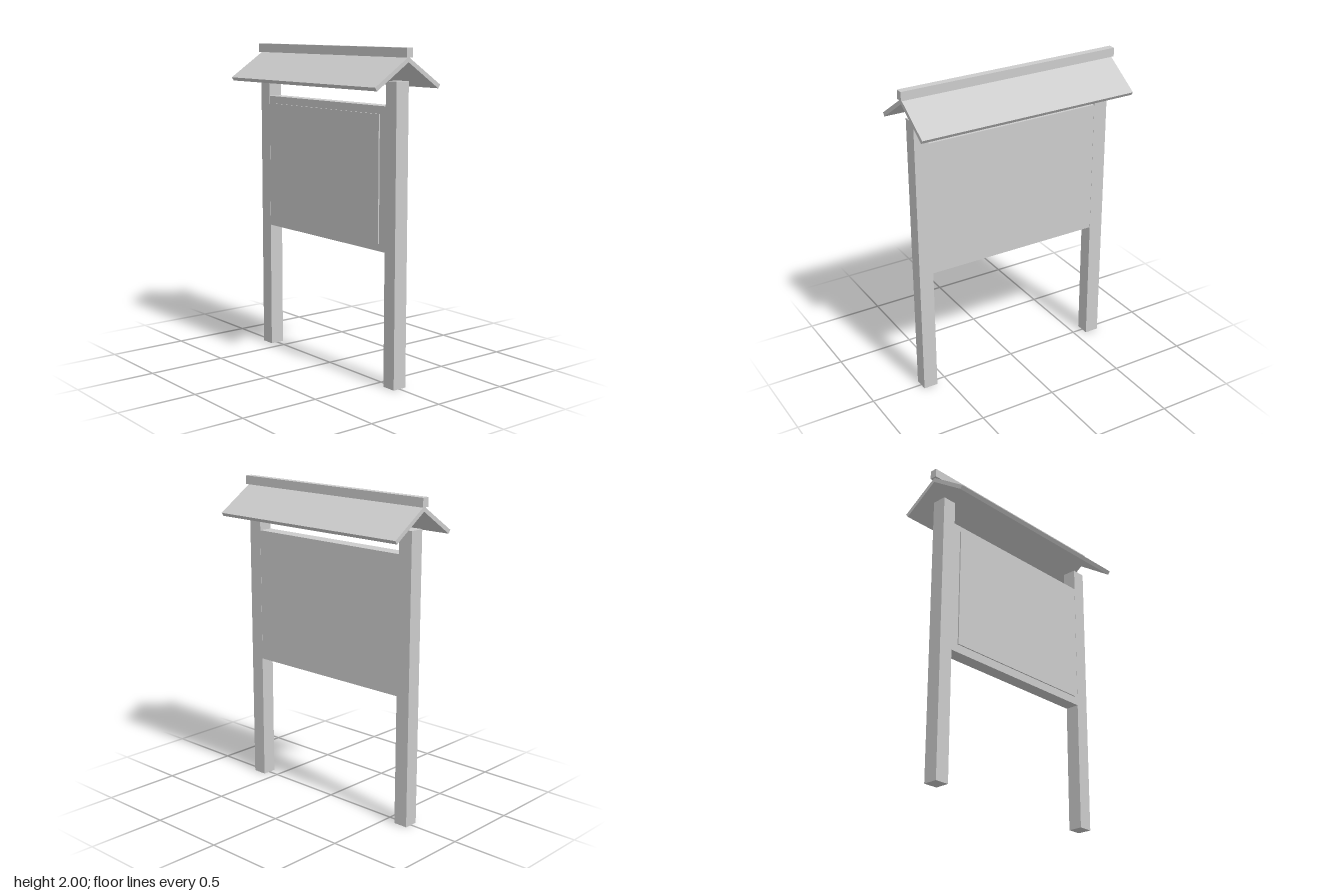
import * as THREE from 'three';

export function createModel() {
  const model = new THREE.Group();
  model.name = 'noticeBoard';
  const grey = new THREE.MeshStandardMaterial({ color: 0xcccccc });
  grey.name = 'lightGrey';

  function add(name, geometry, x, y, z) {
    const mesh = new THREE.Mesh(geometry, grey);
    mesh.name = name;
    mesh.position.set(x, y, z);
    model.add(mesh);
  }
  const box = (name, w, h, d, x, y, z) => add(name, new THREE.BoxGeometry(w, h, d), x, y, z);

  // Square posts
  for (const [name, side] of [['leftPost', 1], ['rightPost', -1]])
    box(name, 0.092, 1.81, 0.092, side * 0.62, 0.905, 0);

  // Back panel between the posts
  box('backPanel', 1.15, 0.852, 0.09, 0, 1.24, 0);

  // Raised display surface with a thin cover in front
  box('displaySurface', 0.98, 0.68, 0.008, 0, 1.24, 0.049);
  box('displayCover', 1.064, 0.76, 0.008, 0, 1.24, 0.057);

  // Two sloping roof boards, mitred where they meet under the ridge
  const length = 1.426;
  for (const [name, side] of [['frontRoofBoard', 1], ['backRoofBoard', -1]]) {
    const profile = new THREE.Shape(
      [[0, 1.949], [0, 1.919], [0.231, 1.765], [0.246, 1.786]]
        .map(([z, y]) => new THREE.Vector2(-side * z, y)));
    const geometry = new THREE.ExtrudeGeometry(profile, { depth: length, bevelEnabled: false });
    geometry.translate(0, 0, -length / 2).rotateY(Math.PI / 2);
    add(name, geometry, 0, 0, 0);
  }

  // Ridge beam on top
  box('ridgeBeam', 1.446, 0.055, 0.046, 0, 1.9725, 0);

  return model;
}
